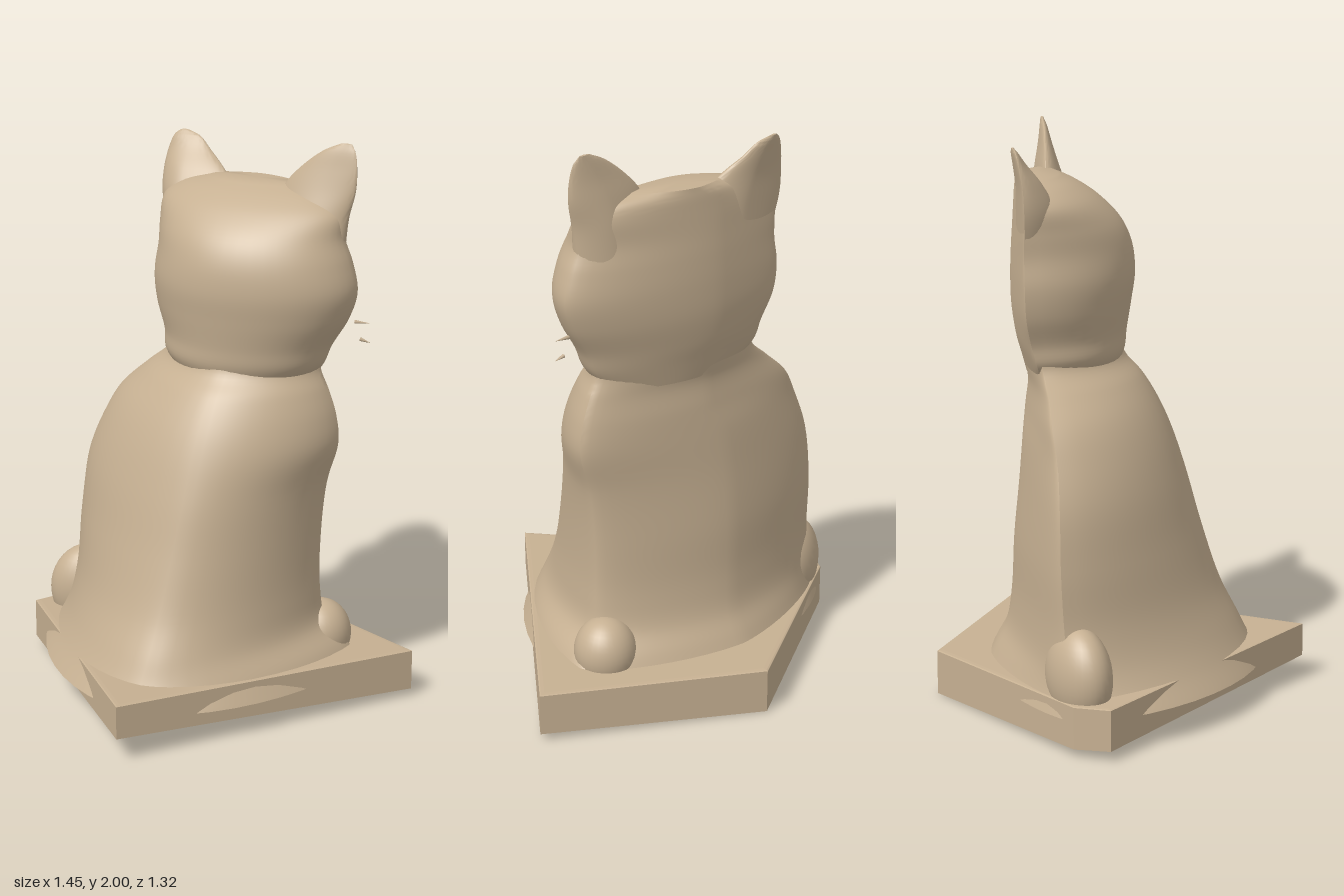
import * as THREE from 'three';
import { toCreasedNormals } from 'three/addons/utils/BufferGeometryUtils.js';

const SEG = 48;

// One lens-shaped ring: left, front, right and back points joined by four superelliptic arcs.
function ring([y, xl, zl, xf, zf, xr, zr, xb, zb], frontPower, backPower) {
  const pts = [];
  for (let j = 0; j < SEG; j++) {
    const a = (j / SEG) * Math.PI * 2;
    const front = j <= SEG / 2;
    const p = front ? frontPower : backPower;
    const c = Math.abs(Math.cos(a)) ** p, s = Math.abs(Math.sin(a)) ** p;
    const right = Math.cos(a) >= 0;
    const xm = front ? xf : xb, zm = front ? zf : zb;
    const xe = right ? xr : xl, ze = right ? zr : zl;
    pts.push(new THREE.Vector3(xm + (xe - xm) * c, y, ze + (zm - ze) * s));
  }
  return pts;
}

// Smooth loft through the rings, closed at the top.
function loft(rows, frontPower, backPower, steps) {
  const rings = rows.map((r) => ring(r, frontPower, backPower));
  const pos = [], idx = [];
  const curves = rings[0].map((_, j) => new THREE.CatmullRomCurve3(rings.map((r) => r[j])));
  for (let i = 0; i <= steps; i++) {
    for (const c of curves) pos.push(...c.getPoint(i / steps).toArray());
  }
  const last = rings[rings.length - 1];
  const top = last.reduce((s, p) => s.add(p), new THREE.Vector3()).divideScalar(SEG);
  pos.push(top.x, top.y + 0.003, top.z);
  const tip = (steps + 1) * SEG;
  for (let j = 0; j < SEG; j++) {
    const k = (j + 1) % SEG;
    for (let i = 0; i < steps; i++) {
      const a = i * SEG + j, b = i * SEG + k;
      idx.push(a, a + SEG, b, b, a + SEG, b + SEG);
    }
    idx.push(steps * SEG + j, tip, steps * SEG + k);
  }
  const g = new THREE.BufferGeometry();
  g.setAttribute('position', new THREE.Float32BufferAttribute(pos, 3));
  g.setIndex(idx);
  return toCreasedNormals(g, 0.6);
}

// Columns: y, left x z, front x z, right x z, back x z
const BODY = [
  [0.12, -0.66, -0.22, 0.00, 0.50, 0.54, -0.25, -0.05, -0.50],
  [0.20, -0.61, -0.24, 0.00, 0.45, 0.49, -0.23, -0.05, -0.46],
  [0.28, -0.58, -0.26, 0.01, 0.41, 0.42, -0.21, -0.05, -0.42],
  [0.40, -0.56, -0.27, 0.02, 0.35, 0.40, -0.20, -0.06, -0.40],
  [0.60, -0.555, -0.28, 0.04, 0.285, 0.40, -0.20, -0.07, -0.39],
  [0.80, -0.53, -0.28, 0.06, 0.23, 0.42, -0.20, -0.07, -0.37],
  [0.95, -0.47, -0.28, 0.07, 0.18, 0.46, -0.20, -0.05, -0.355],
  [1.05, -0.41, -0.29, 0.08, 0.135, 0.45, -0.20, 0.0, -0.34],
  [1.14, -0.31, -0.29, 0.09, 0.08, 0.42, -0.20, 0.0, -0.33],
  [1.21, -0.23, -0.30, 0.10, 0.02, 0.39, -0.20, 0.0, -0.34],
  [1.28, -0.22, -0.31, 0.10, 0.0, 0.39, -0.20, 0.0, -0.34],
];
const HEAD = [
  [1.16, -0.16, -0.30, 0.10, -0.02, 0.34, -0.21, 0.05, -0.33],
  [1.23, -0.225, -0.32, 0.10, 0.015, 0.40, -0.20, 0.02, -0.35],
  [1.30, -0.235, -0.34, 0.11, 0.025, 0.43, -0.20, 0.0, -0.37],
  [1.40, -0.27, -0.36, 0.12, 0.042, 0.49, -0.20, 0.0, -0.385],
  [1.50, -0.28, -0.365, 0.12, 0.055, 0.52, -0.20, 0.0, -0.388],
  [1.60, -0.265, -0.365, 0.12, 0.045, 0.50, -0.20, 0.0, -0.385],
  [1.68, -0.265, -0.365, 0.12, 0.01, 0.47, -0.20, 0.0, -0.38],
  [1.76, -0.26, -0.36, 0.12, -0.065, 0.46, -0.21, 0.0, -0.375],
  [1.81, -0.19, -0.34, 0.12, -0.14, 0.40, -0.23, 0.02, -0.37],
  [1.842, -0.06, -0.32, 0.12, -0.21, 0.28, -0.25, 0.08, -0.36],
];
const RIGHT_EAR = [
  [1.62, -0.25, -0.36, -0.15, -0.24, 0.05, -0.28, -0.1, -0.375],
  [1.75, -0.285, -0.365, -0.17, -0.25, 0.03, -0.30, -0.12, -0.378],
  [1.84, -0.285, -0.37, -0.18, -0.295, -0.03, -0.33, -0.15, -0.382],
  [1.91, -0.272, -0.38, -0.19, -0.35, -0.11, -0.37, -0.18, -0.393],
  [1.95, -0.255, -0.388, -0.21, -0.378, -0.155, -0.385, -0.2, -0.40],
  [1.966, -0.235, -0.395, -0.22, -0.392, -0.20, -0.395, -0.22, -0.40],
];
const LEFT_EAR = [
  [1.64, 0.18, -0.24, 0.35, -0.12, 0.47, -0.20, 0.34, -0.29],
  [1.75, 0.19, -0.24, 0.36, -0.15, 0.482, -0.20, 0.36, -0.28],
  [1.84, 0.23, -0.24, 0.38, -0.18, 0.503, -0.205, 0.38, -0.265],
  [1.91, 0.295, -0.235, 0.41, -0.20, 0.505, -0.21, 0.41, -0.25],
  [1.97, 0.375, -0.23, 0.44, -0.215, 0.495, -0.22, 0.44, -0.24],
  [1.997, 0.435, -0.23, 0.46, -0.225, 0.478, -0.23, 0.46, -0.235],
];

// Diamond slab, tilted and slightly thicker at the front.
function plinthGeometry() {
  const corners = [[0.01, 0.63], [0.70, -0.28], [0.02, -0.64], [-0.65, -0.24], [-0.70, -0.14]];
  const shape = new THREE.Shape(corners.map(([x, z]) => new THREE.Vector2(x, -z)));
  const g = new THREE.ExtrudeGeometry(shape, {
    depth: 0.96, bevelThickness: 0.02, bevelSize: 0.018, bevelSegments: 2, steps: 1,
  });
  g.rotateX(-Math.PI / 2);
  const p = g.attributes.position;
  for (let i = 0; i < p.count; i++) {
    const z = p.getZ(i), t = (p.getY(i) + 0.02);
    const round = Math.min(1, Math.max(0, t));
    p.setY(i, THREE.MathUtils.lerp(0.045 + 0.066 * z, 0.188 + 0.035 * z, round));
  }
  g.computeVertexNormals();
  return g;
}

export function createModel() {
  const group = new THREE.Group();
  const stone = new THREE.MeshStandardMaterial({ color: 0xc6b092 });
  stone.name = 'warm sandstone';

  const add = (name, geometry) => {
    const mesh = new THREE.Mesh(geometry, stone);
    mesh.name = name;
    group.add(mesh);
    return mesh;
  };

  add('plinth', plinthGeometry());
  add('body', loft(BODY, 1.2, 1.35, 60));
  add('head', loft(HEAD, 1, 1.3, 50));
  add('rightEar', loft(RIGHT_EAR, 1.1, 1.2, 24));
  add('leftEar', loft(LEFT_EAR, 1.1, 1.2, 24));

  // Curled tail at the right haunch and a small paw on the other side
  const lump = (name, [x, y, z], [rx, ry, rz], turn) => {
    const m = add(name, new THREE.SphereGeometry(1, 32, 20));
    m.position.set(x, y, z);
    m.scale.set(rx, ry, rz);
    m.rotation.y = turn;
  };
  lump('tail', [-0.53, 0.24, -0.22], [0.15, 0.17, 0.10], 0.4);
  lump('tailTip', [-0.42, 0.19, -0.02], [0.24, 0.07, 0.09], -0.85);
  lump('paw', [0.39, 0.21, -0.24], [0.11, 0.125, 0.11], 0);

  // Whisker stubs on the left cheek
  for (const [x, y, len, tilt] of [[0.54, 1.39, 0.06, 0], [0.55, 1.326, 0.04, -0.25]]) {
    const w = add('whisker', new THREE.ConeGeometry(0.007, len, 6));
    w.position.set(x, y, -0.205);
    w.rotation.z = -Math.PI / 2 + tilt;
  }
  return group;
}
